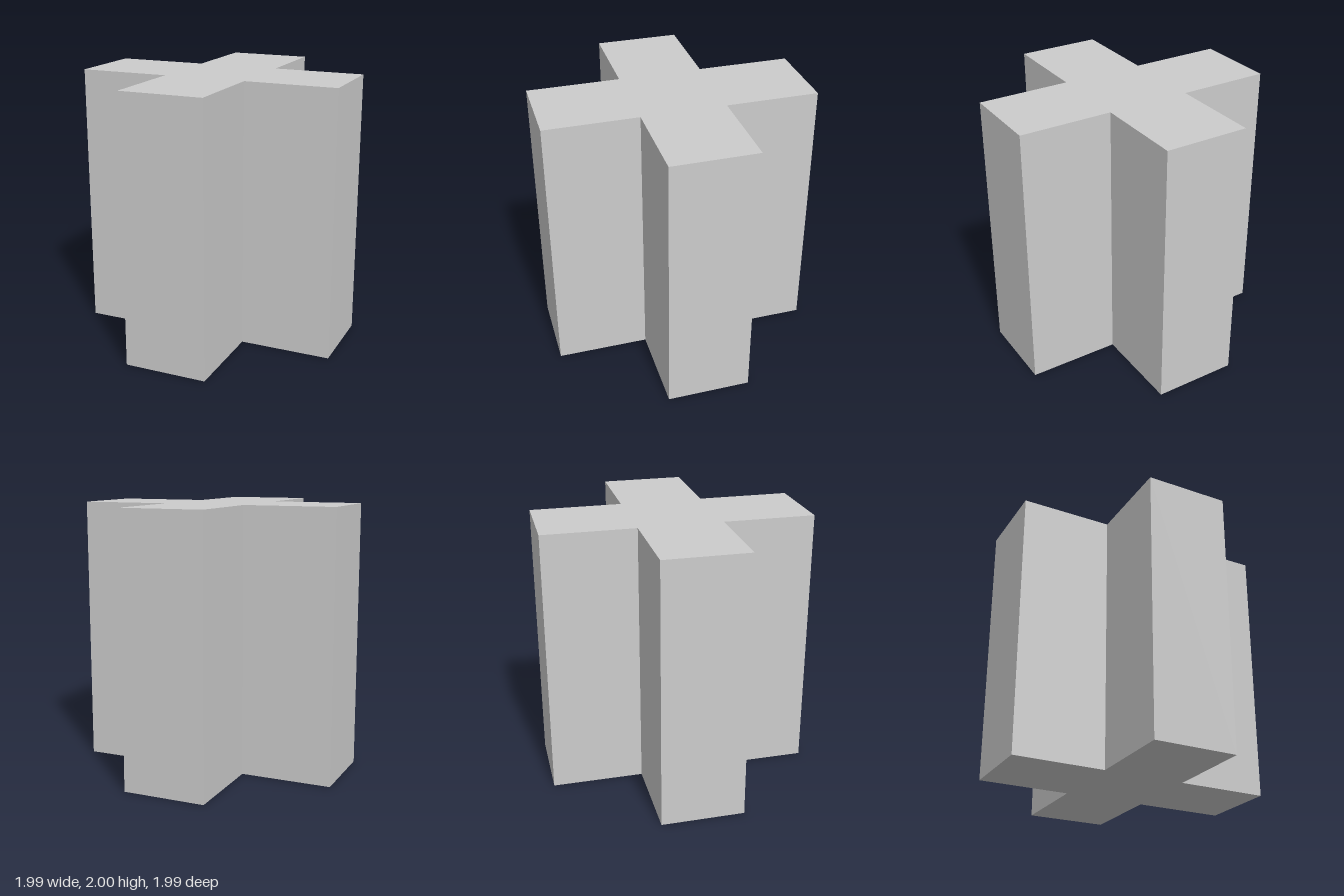
import * as THREE from 'three';

const REACH = 0.993; // centre to arm end
const HALF = 0.31;   // half the arm width
const HEIGHT = 2;

export function createModel() {
  const group = new THREE.Group();
  group.name = 'crossPrism';

  // Cross outline: three corners per quadrant, turned four times
  const quadrant = [[REACH, HALF], [HALF, HALF], [HALF, REACH]];
  const outline = [];
  for (let i = 0; i < 4; i++) {
    for (const [x, y] of quadrant) {
      outline.push(new THREE.Vector2(x, y).rotateAround(new THREE.Vector2(), i * Math.PI / 2));
    }
  }

  // Upright column with flat ends
  const geometry = new THREE.ExtrudeGeometry(new THREE.Shape(outline), {
    depth: HEIGHT, bevelEnabled: false,
  });
  geometry.rotateX(-Math.PI / 2);

  const column = new THREE.Mesh(
    geometry,
    new THREE.MeshStandardMaterial({ color: 0xcccccc, flatShading: true }),
  );
  column.name = 'crossColumn';
  group.add(column);
  return group;
}
